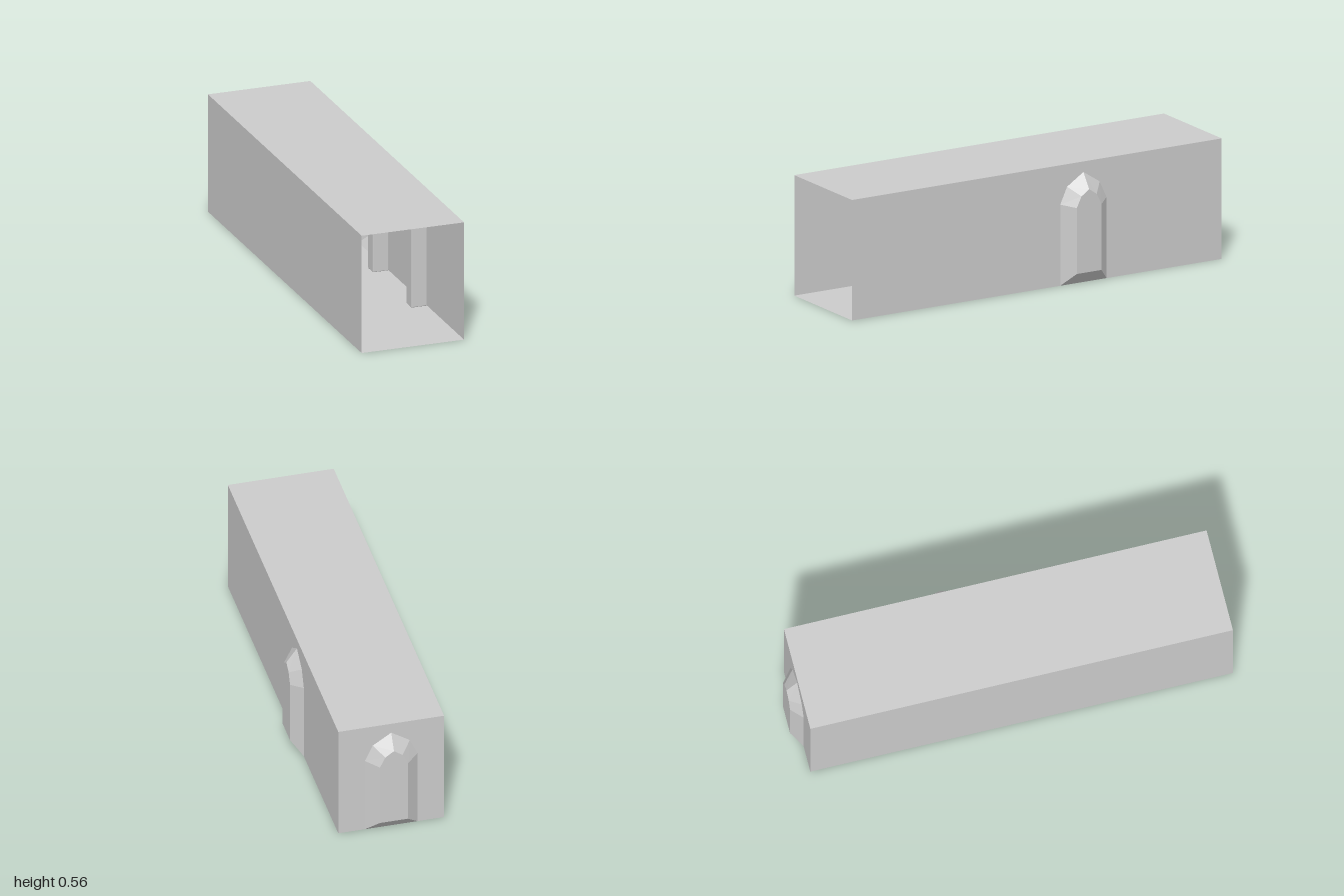
import * as THREE from 'three';
import { RoundedBoxGeometry } from 'three/addons/geometries/RoundedBoxGeometry.js';

const X0 = -0.27, X1 = 0.22, H = 0.56, Z0 = -0.95, Z1 = 1;
const DEPTH = 0.049;

const shell = new THREE.MeshStandardMaterial({ color: 0xcccccc, side: THREE.DoubleSide, flatShading: true });
const timber = new THREE.MeshStandardMaterial({ color: 0xcccccc });

// Arch outlines about their own centre line: opening in the wall, and smaller back panel
const OPENING = [[-0.122, 0], [-0.122, 0.377], [-0.086, 0.455], [0, 0.511], [0.086, 0.455], [0.122, 0.377], [0.122, 0]];
const PANEL = [[-0.065, 0.058], [-0.065, 0.364], [-0.04, 0.415], [0, 0.443], [0.04, 0.415], [0.065, 0.364], [0.065, 0.058]];

function add(parent, name, geometry, material, x = 0, y = 0, z = 0) {
  const mesh = new THREE.Mesh(geometry, material);
  mesh.name = name;
  mesh.position.set(x, y, z);
  parent.add(mesh);
  return mesh;
}

const flatShape = (points) => new THREE.ShapeGeometry(new THREE.Shape(points.map(([x, y]) => new THREE.Vector2(x, y))));

// Sloping band joining the opening to the recessed panel, sill included
function splayGeometry() {
  const pos = [], index = [], n = OPENING.length;
  for (let i = 0; i < n; i++) {
    pos.push(...OPENING[i], 0, ...PANEL[i], -DEPTH);
    const a = 2 * i, b = 2 * ((i + 1) % n);
    index.push(a, a + 1, b, b, a + 1, b + 1);
  }
  const g = new THREE.BufferGeometry();
  g.setAttribute('position', new THREE.Float32BufferAttribute(pos, 3));
  g.setIndex(index);
  g.computeVertexNormals();
  return g;
}

// Wall from u0 to u1 with an arched niche recessed towards local -z
function nicheWall(name, u0, u1, centre) {
  const wall = new THREE.Group();
  wall.name = name;
  const notch = OPENING.map(([x, y]) => [x + centre, y]);
  add(wall, name + 'Face', flatShape([[u0, 0], ...notch, [u1, 0], [u1, H], [u0, H]]), shell);
  add(wall, name + 'NicheSplay', splayGeometry(), shell, centre);
  add(wall, name + 'NichePanel', flatShape(PANEL), shell, centre, 0, -DEPTH);
  return wall;
}

// Post-and-lintel support frame
function supportFrame(z) {
  const frame = new THREE.Group();
  frame.name = 'supportFrame';
  const beam = (name, x0, x1, y0, y1, d) =>
    add(frame, name, new RoundedBoxGeometry(x1 - x0, y1 - y0, d, 1, 0.005), timber, (x0 + x1) / 2, (y0 + y1) / 2, 0);
  beam('rightPost', -0.257, -0.181, 0.004, 0.555, 0.066);
  beam('leftPost', 0.139, 0.216, 0.004, 0.555, 0.066);
  beam('lintel', -0.184, 0.138, 0.472, 0.558, 0.066);
  frame.position.z = z;
  return frame;
}

export function createModel() {
  const model = new THREE.Group();
  model.name = 'corridor';
  const w = X1 - X0, len = Z1 - Z0, cx = (X0 + X1) / 2, cz = (Z0 + Z1) / 2;

  // Floor, ceiling and the plain wall; the front end is open
  for (const [name, y] of [['floor', 0], ['ceiling', H]])
    add(model, name, new THREE.PlaneGeometry(w, len), shell, cx, y, cz).rotation.x = -Math.PI / 2;
  add(model, 'plainWall', new THREE.PlaneGeometry(len, H), shell, X0, H / 2, cz).rotation.y = Math.PI / 2;

  // End wall and side wall with niches
  const endWall = nicheWall('endWall', X0, X1, cx);
  endWall.position.z = Z0;
  const sideWall = nicheWall('sideWall', Z0, Z1, -0.22);
  sideWall.position.x = X1;
  sideWall.rotation.y = -Math.PI / 2;
  model.add(endWall, sideWall);

  // Evenly spaced frames along the corridor
  for (const i of [-1, 0, 1]) model.add(supportFrame(cz + i * len / 4));
  return model;
}
